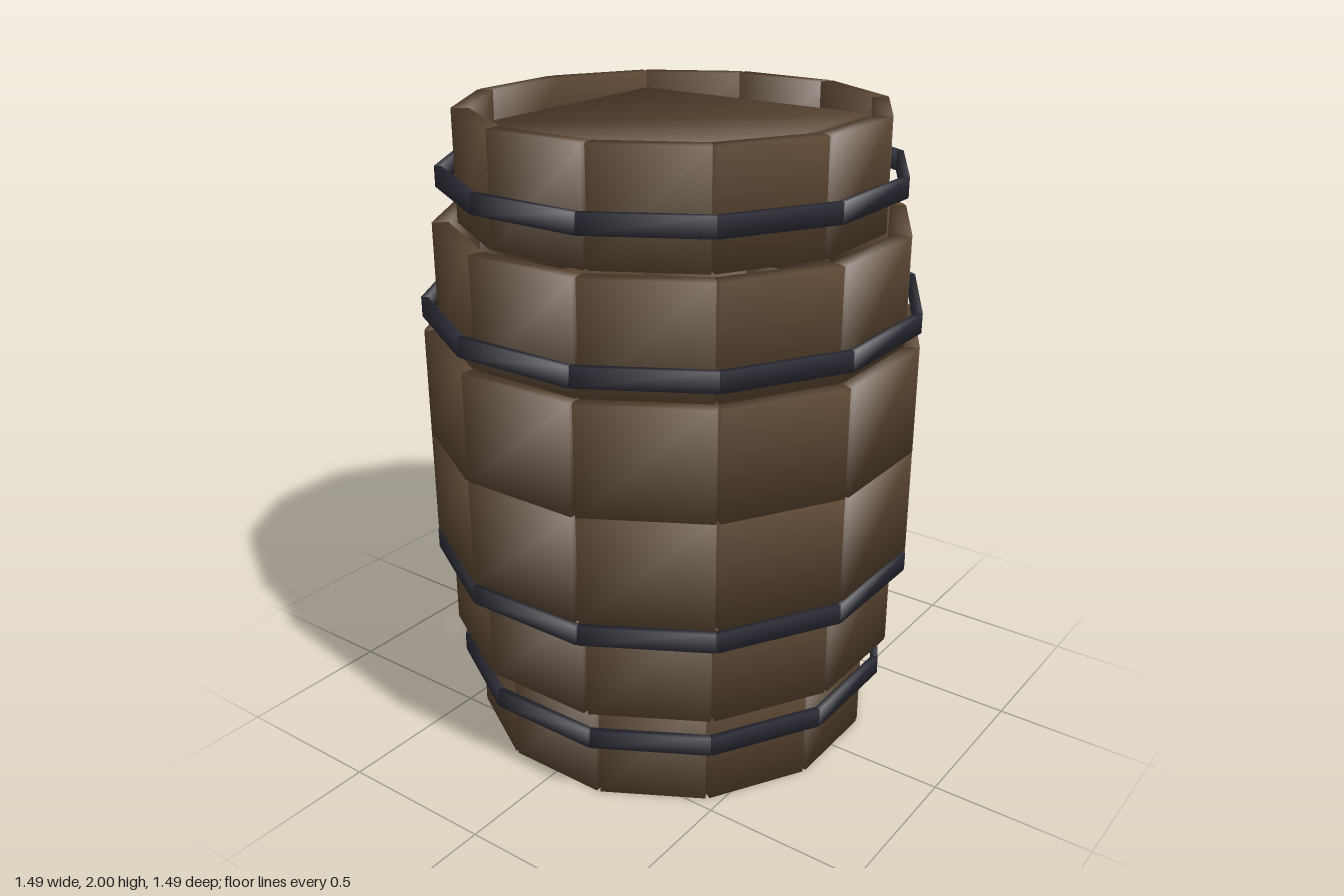
import * as THREE from 'three';
import { mergeVertices } from 'three/addons/utils/BufferGeometryUtils.js';

const SIDES = 12;

// Box with shared corners, so it shades softly from corner to corner
function softBox(w, h, d) {
  let g = new THREE.BoxGeometry(w, h, d);
  g.deleteAttribute('normal');
  g.deleteAttribute('uv');
  g = mergeVertices(g);
  const p = g.attributes.position;
  const normals = new Float32Array(p.count * 3);
  const n = new THREE.Vector3();
  for (let i = 0; i < p.count; i++) {
    n.set(Math.sign(p.getX(i)), Math.sign(p.getY(i)), Math.sign(p.getZ(i))).normalize();
    n.toArray(normals, i * 3);
  }
  g.setAttribute('normal', new THREE.BufferAttribute(normals, 3));
  return g;
}

// Twelve boxes around the axis, with their outer faces at the given distance
function ring(name, partName, outer, thickness, y, height, material) {
  const group = new THREE.Group();
  group.name = name;
  const middle = outer - thickness / 2;
  const geometry = softBox(2 * middle * Math.tan(Math.PI / SIDES), height, thickness);
  for (let i = 0; i < SIDES; i++) {
    const a = (i / SIDES) * Math.PI * 2;
    const part = new THREE.Mesh(geometry, material);
    part.name = partName;
    part.position.set(Math.sin(a) * middle, y, Math.cos(a) * middle);
    part.rotation.y = a;
    group.add(part);
  }
  return group;
}

export function createModel() {
  const barrel = new THREE.Group();
  barrel.name = 'barrel';
  const wood = new THREE.MeshStandardMaterial({ color: 0x5c4733 });
  wood.name = 'brown wood';
  const iron = new THREE.MeshStandardMaterial({ color: 0x2a2b35 });
  iron.name = 'dark iron';

  // Six rows of staves, bulging at the middle
  const rowHeight = 2 / 6;
  [0.63, 0.703, 0.746, 0.746, 0.703, 0.63].forEach((outer, i) => {
    barrel.add(ring('staveRow', 'stave', outer, 0.05, (i + 0.5) * rowHeight, rowHeight, wood));
  });

  // Four hoops standing a little off the staves
  [[0.23, 0.685], [0.625, 0.747], [1.41, 0.747], [1.805, 0.685]].forEach(([y, outer]) => {
    barrel.add(ring('hoop', 'hoopSegment', outer, 0.02, y, 0.06, iron));
  });

  // Square lid board just below the rim; the bottom is open
  const lid = new THREE.Mesh(softBox(0.84, 0.05, 0.84), wood);
  lid.name = 'lid';
  lid.position.y = 1.925;
  barrel.add(lid);

  return barrel;
}
